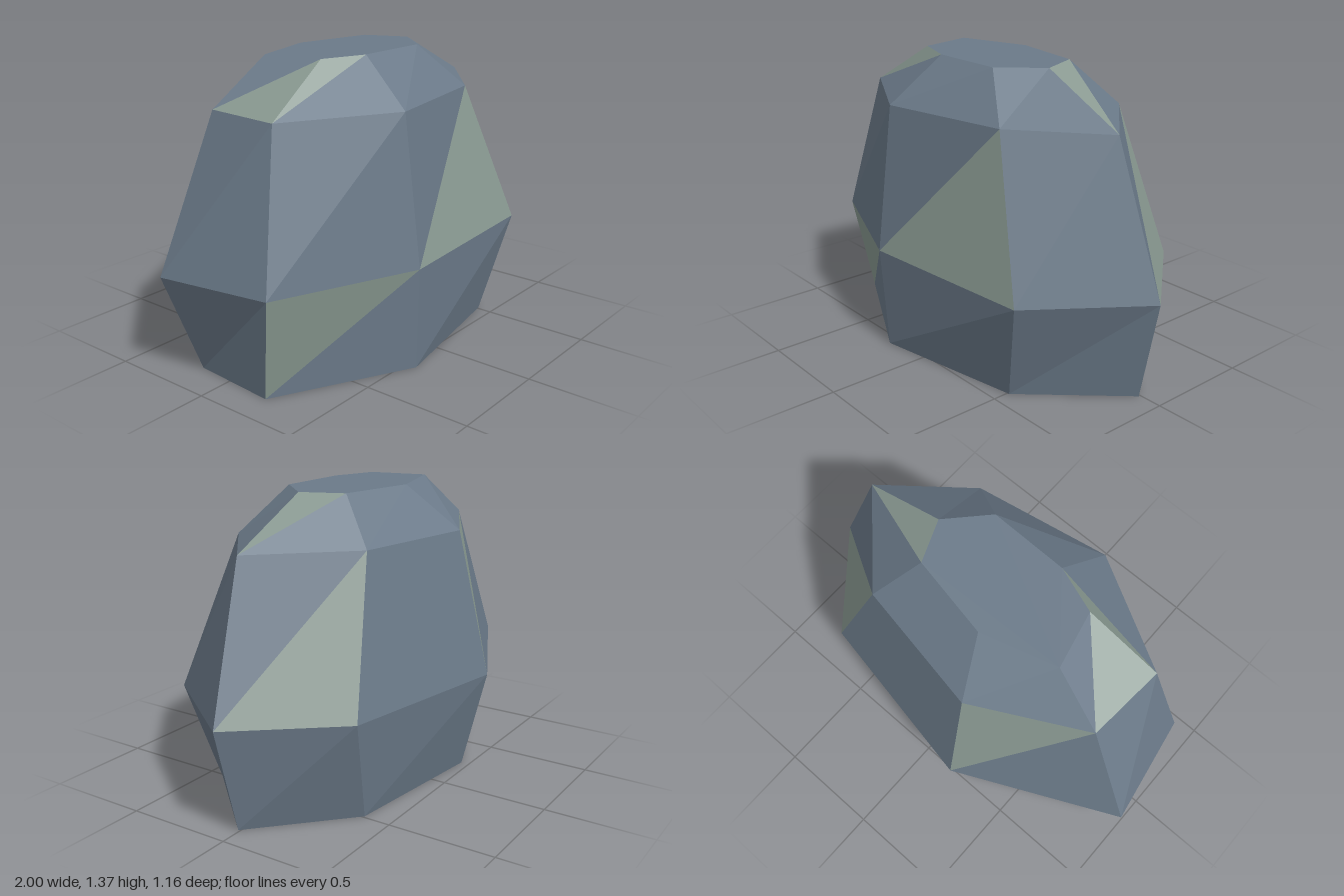
import * as THREE from 'three';

// Faceted boulder: four seven-sided rings, [x, z] pairs, from the ground to the top
const RINGS = [
  { y: 0, p: [[-0.82, -0.18], [-0.25, -0.46], [0.49, -0.37], [0.89, 0.01], [0.51, 0.425], [-0.22, 0.555], [-0.85, 0.23]] },
  { y: 0.48, p: [[-1, -0.22], [-0.25, -0.58], [0.625, -0.42], [1, 0.03], [0.645, 0.515], [-0.24, 0.577], [-0.91, 0.307]] },
  { y: 1.16, p: [[-0.715, -0.165], [-0.215, -0.43], [0.4, -0.32], [0.77, 0.067], [0.39, 0.375], [-0.24, 0.487], [-0.745, 0.205]] },
  { y: 1.365, p: [[-0.455, -0.105], [-0.11, -0.205], [0.27, -0.13], [0.35, 0.065], [0.185, 0.24], [-0.185, 0.235], [-0.395, 0.16]] },
];

// Pale facets, as band + side + lower (a) or upper (b) triangle
const PALE = new Set(['0-0a', '0-5b', '1-2a', '1-4a', '1-0b', '2-6a', '2-5b', '2-2b']);

function facetMesh(name, triangles, material) {
  const geometry = new THREE.BufferGeometry().setFromPoints(triangles.flat());
  geometry.computeVertexNormals();
  const mesh = new THREE.Mesh(geometry, material);
  mesh.name = name;
  return mesh;
}

export function createModel() {
  const slate = new THREE.MeshStandardMaterial({ name: 'slate blue', color: 0x6b7a89, flatShading: true });
  const sage = new THREE.MeshStandardMaterial({ name: 'sage grey', color: 0x8a9a92, flatShading: true });

  const rings = RINGS.map(({ y, p }) => p.map(([x, z]) => new THREE.Vector3(x, y, z)));
  const n = rings[0].length;
  const dark = [], pale = [], base = [], top = [];

  // Side bands, each quad split along the same diagonal
  for (let r = 0; r < rings.length - 1; r++) {
    const low = rings[r], up = rings[r + 1];
    for (let i = 0; i < n; i++) {
      const j = (i + 1) % n;
      (PALE.has(`${r}-${i}a`) ? pale : dark).push([low[j], low[i], up[i]]);
      (PALE.has(`${r}-${i}b`) ? pale : dark).push([low[j], up[i], up[j]]);
    }
  }

  // Flat underside and flat top
  const bottomRing = rings[0], topRing = rings[rings.length - 1];
  for (let i = 1; i < n - 1; i++) {
    base.push([bottomRing[0], bottomRing[i], bottomRing[i + 1]]);
    top.push([topRing[0], topRing[i + 1], topRing[i]]);
  }

  const rock = new THREE.Group();
  rock.name = 'rock';
  rock.add(
    facetMesh('rockSides', dark, slate),
    facetMesh('paleFacets', pale, sage),
    facetMesh('rockTop', top, slate),
    facetMesh('rockUnderside', base, sage),
  );
  return rock;
}
